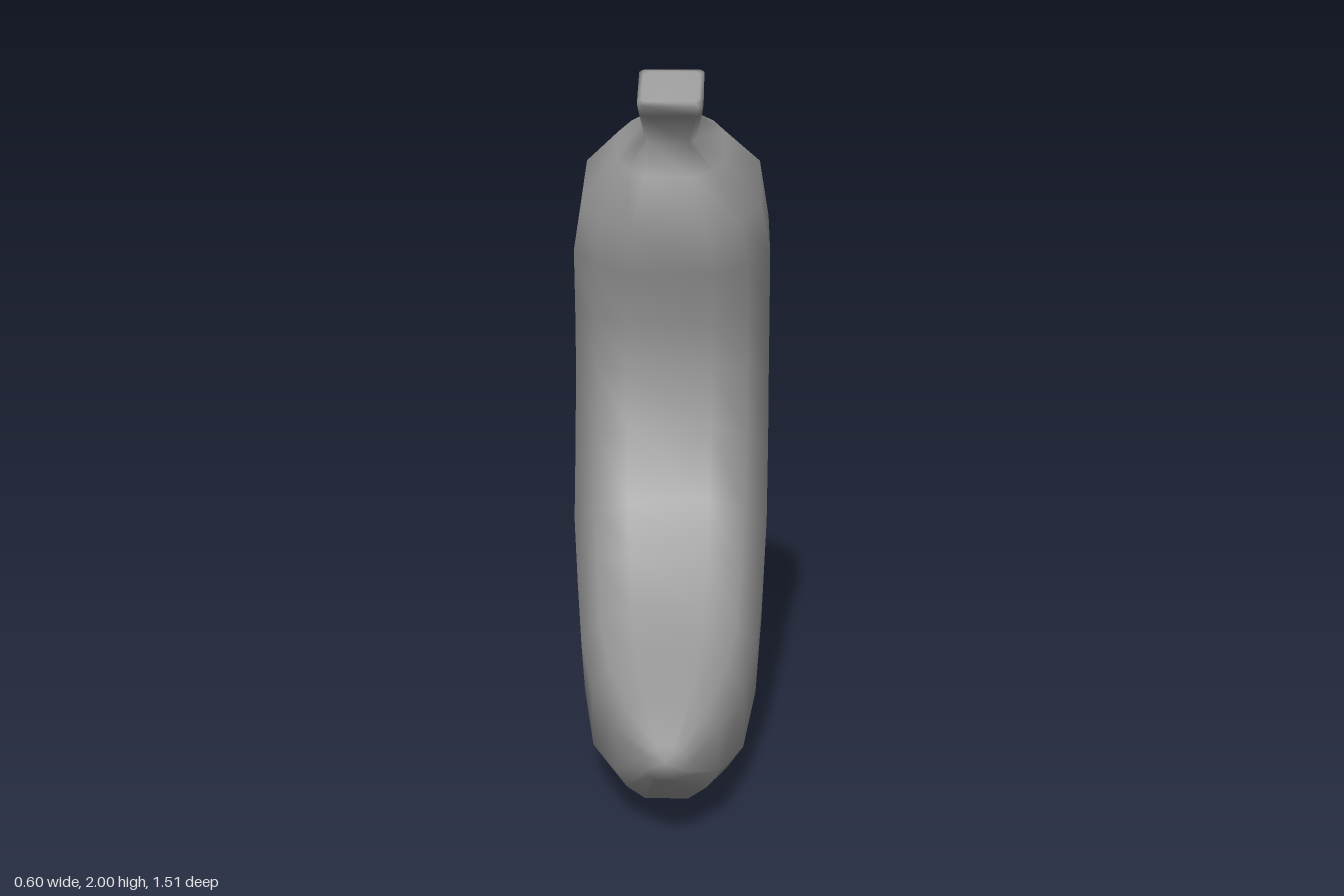
import * as THREE from 'three';

// Cross-sections from stem to tip:
// inner z, inner y, outer z, outer y, half width, flat share of each side, sideways shift
const SECTIONS = [
  [-0.045, 1.91, -0.168, 1.992, 0.082, 0.85, 0.004], // stem end face
  [-0.033, 1.897, -0.184, 1.998, 0.095, 0.85, 0.004], // stem rim
  [-0.055, 1.868, -0.202, 1.972, 0.091, 0.82, 0.004],
  [-0.13, 1.79, -0.27, 1.88, 0.076, 0.7, 0.002], // neck
  [-0.115, 1.69, -0.39, 1.865, 0.16, 0.45, 0], // shoulder
  [-0.09, 1.53, -0.555, 1.8, 0.268, 0.42, 0],
  [-0.125, 1.4, -0.695, 1.6, 0.3, 0.42, 0],
  [-0.16, 1.25, -0.745, 1.33, 0.302, 0.42, 0],
  [-0.16, 1.12, -0.755, 1.07, 0.302, 0.42, 0],
  [-0.13, 0.93, -0.685, 0.74, 0.302, 0.42, 0],
  [-0.04, 0.73, -0.525, 0.4, 0.298, 0.42, 0],
  [0.06, 0.61, -0.3, 0.185, 0.282, 0.42, 0.004],
  [0.23, 0.485, 0, 0.045, 0.257, 0.42, 0.008],
  [0.39, 0.42, 0.34, 0.003, 0.213, 0.42, 0.013],
  [0.595, 0.36, 0.615, 0.09, 0.138, 0.42, 0.018],
  [0.745, 0.3, 0.76, 0.21, 0.052, 0.42, 0.02], // blunt tip
];
const SIDES = 12;

// Rounded-square loop: each quarter turn repeats two flat ends and a corner point
function ring([zi, yi, zo, yo, w, f, shift]) {
  const d = f + (1 - f) * 0.6;
  const inner = new THREE.Vector3(0, yi, zi);
  const outer = new THREE.Vector3(0, yo, zo);
  const points = [];
  let quarter = [[1, -f], [1, f], [d, d]];
  for (let q = 0; q < 4; q++) {
    for (const [u, v] of quarter) {
      const p = inner.clone().lerp(outer, (v + 1) / 2);
      p.x = shift + u * w;
      points.push(p);
    }
    quarter = quarter.map(([u, v]) => [-v, u]);
  }
  return points;
}

function loft(sections) {
  const points = sections.flatMap(ring);
  const index = [];
  const last = (sections.length - 1) * SIDES;
  for (let r = 0; r < last; r += SIDES) {
    for (let j = 0; j < SIDES; j++) {
      const k = (j + 1) % SIDES;
      const a = r + j, b = r + SIDES + j, c = r + SIDES + k, d = r + k;
      index.push(a, b, c, a, c, d);
    }
  }
  // Close both ends with fans around a centre point
  for (const start of [0, last]) {
    const centre = new THREE.Vector3();
    for (let j = 0; j < SIDES; j++) centre.addScaledVector(points[start + j], 1 / SIDES);
    const m = points.push(centre) - 1;
    for (let j = 0; j < SIDES; j++) {
      const a = start + j, b = start + (j + 1) % SIDES;
      if (start === 0) index.push(m, a, b);
      else index.push(m, b, a);
    }
  }
  const geometry = new THREE.BufferGeometry().setFromPoints(points);
  geometry.setIndex(index);
  geometry.computeVertexNormals();
  return geometry;
}

export function createModel() {
  const model = new THREE.Group();
  model.name = 'banana';
  // Peel and stem form one continuous smooth skin
  const peel = new THREE.Mesh(loft(SECTIONS), new THREE.MeshStandardMaterial({ color: 0x969696 }));
  peel.name = 'peelWithStem';
  model.add(peel);
  return model;
}
